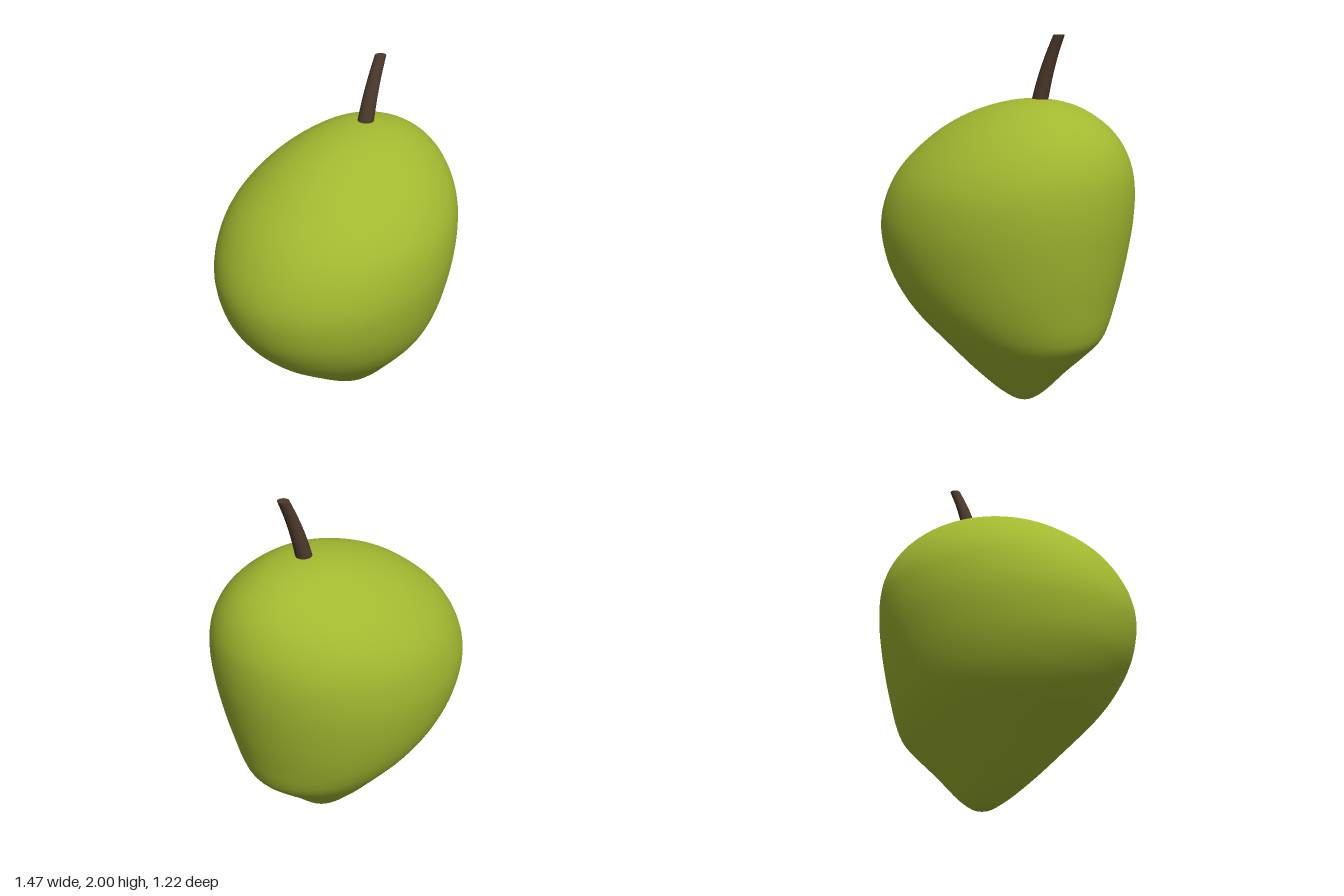
import * as THREE from 'three';

// Smooth loft of horizontal ellipses. Rows: [y, xMin, xMax, half depth], bottom to top.
function loft(rows, rings, sides) {
  const sideCurve = new THREE.CatmullRomCurve3(rows.map(r => new THREE.Vector3(r[1], r[0], r[2])), false, 'catmullrom', 0.5);
  const depthCurve = new THREE.CatmullRomCurve3(rows.map(r => new THREE.Vector3(r[3], 0, 0)), false, 'catmullrom', 0.5);
  const pos = [], index = [];
  for (let i = 0; i <= rings; i++) {
    const s = sideCurve.getPoint(i / rings);
    const depth = Math.max(0, depthCurve.getPoint(i / rings).x);
    const cx = (s.x + s.z) / 2, rx = Math.max(0, (s.z - s.x) / 2);
    for (let j = 0; j < sides; j++) {
      const a = (j / sides) * Math.PI * 2;
      pos.push(cx + rx * Math.cos(a), s.y, depth * Math.sin(a));
    }
  }
  for (let i = 0; i < rings; i++) {
    for (let j = 0; j < sides; j++) {
      const k = (j + 1) % sides;
      const a = i * sides + j, b = i * sides + k, c = a + sides, d = b + sides;
      index.push(a, c, b, b, c, d);
    }
  }
  const geo = new THREE.BufferGeometry();
  geo.setAttribute('position', new THREE.Float32BufferAttribute(pos, 3));
  geo.setIndex(index);
  geo.computeVertexNormals();
  return geo;
}

export function createModel() {
  const skin = new THREE.MeshStandardMaterial({ color: 0xa2b830 });
  skin.name = 'green skin';
  const bark = new THREE.MeshStandardMaterial({ color: 0x4c3a2c });
  bark.name = 'brown stem';
  const model = new THREE.Group();
  model.name = 'fruit';
  const add = (name, geo, mat) => {
    const mesh = new THREE.Mesh(geo, mat);
    mesh.name = name;
    model.add(mesh);
    return mesh;
  };

  // Lopsided body: pointed base, shoulder low on +x, broad rounded top
  add('body', loft([
    [0.005, 0.13, 0.13, 0],
    [0.015, 0.08, 0.18, 0.045],
    [0.05, 0.02, 0.235, 0.1],
    [0.1, -0.055, 0.29, 0.155],
    [0.2, -0.185, 0.385, 0.245],
    [0.3, -0.305, 0.49, 0.325],
    [0.39, -0.412, 0.575, 0.395],
    [0.48, -0.51, 0.613, 0.458],
    [0.6, -0.612, 0.642, 0.52],
    [0.75, -0.697, 0.676, 0.57],
    [0.92, -0.735, 0.707, 0.602],
    [1.06, -0.72, 0.726, 0.607],
    [1.2, -0.66, 0.732, 0.588],
    [1.32, -0.575, 0.72, 0.538],
    [1.43, -0.455, 0.68, 0.462],
    [1.52, -0.33, 0.615, 0.373],
    [1.59, -0.19, 0.525, 0.28],
    [1.635, -0.06, 0.435, 0.2],
    [1.66, 0.045, 0.345, 0.125],
    [1.672, 0.13, 0.265, 0.055],
    [1.674, 0.2, 0.2, 0],
  ], 100, 72), skin);

  // Curved, tapering stem
  add('stem', loft([
    [1.6, 0.172, 0.257, 0.045],
    [1.68, 0.19, 0.276, 0.043],
    [1.79, 0.225, 0.302, 0.039],
    [1.9, 0.269, 0.336, 0.034],
    [2.0, 0.317, 0.375, 0.03],
  ], 20, 24), bark);

  // Cut end of the stem
  const tip = add('stemTip', new THREE.CircleGeometry(0.03, 24), bark);
  tip.rotation.x = -Math.PI / 2;
  tip.position.set(0.346, 2.0, 0);

  return model;
}
